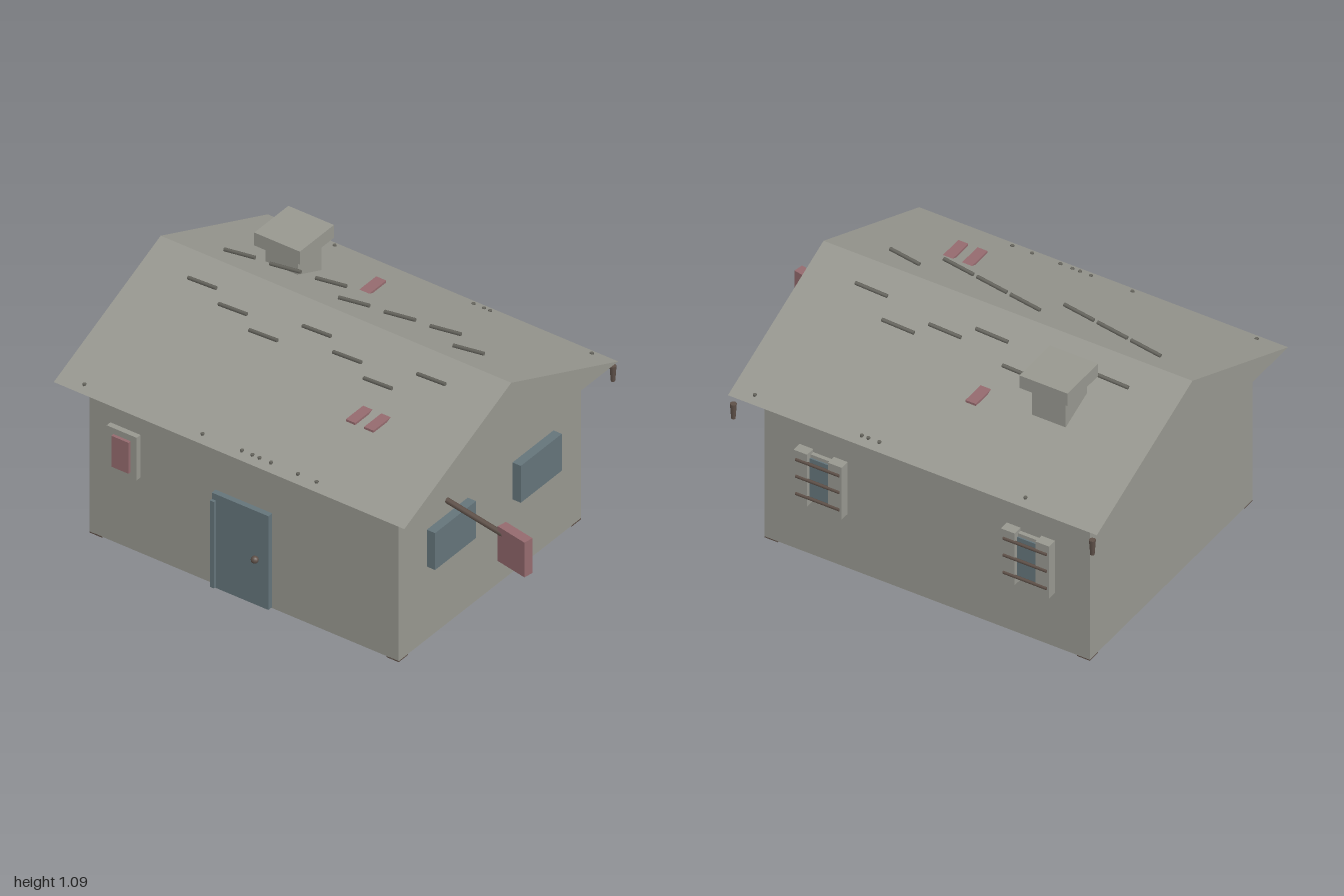
import * as THREE from 'three';

const mat = (name, color) => new THREE.MeshStandardMaterial({ name, color });

export function createModel() {
  const group = new THREE.Group();
  group.name = 'house';
  const stone = mat('stone grey', 0x97978f);
  const slate = mat('slate blue', 0x64747a);
  const rose = mat('dusty rose', 0x946a6e);
  const brown = mat('dark brown', 0x5e5048);
  const twig = mat('dark grey', 0x65645d);

  const add = (name, geo, material) => {
    const mesh = new THREE.Mesh(geo, material);
    mesh.name = name;
    group.add(mesh);
    return mesh;
  };
  // Box given by its limits on each axis
  const box = (name, material, [x0, x1], [y0, y1], [z0, z1]) => {
    const mesh = add(name, new THREE.BoxGeometry(x1 - x0, y1 - y0, z1 - z0), material);
    mesh.position.set((x0 + x1) / 2, (y0 + y1) / 2, (z0 + z1) / 2);
    return mesh;
  };
  // Round bar between two points
  const rod = (name, material, a, b, r0, r1 = r0, sides = 8) => {
    const from = new THREE.Vector3(...a), to = new THREE.Vector3(...b);
    const dir = to.clone().sub(from);
    const mesh = add(name, new THREE.CylinderGeometry(r1, r0, dir.length(), sides), material);
    mesh.position.copy(from).add(to).multiplyScalar(0.5);
    mesh.quaternion.setFromUnitVectors(new THREE.Vector3(0, 1, 0), dir.normalize());
    return mesh;
  };

  // Walls and corner pads
  box('walls', stone, [-0.9, 0.59], [0.005, 0.73], [-0.59, 0.61]);
  for (const x of [-0.9, 0.53])
    for (const z of [-0.59, 0.55]) box('cornerPad', brown, [x, x + 0.06], [0, 0.006], [z, z + 0.06]);

  // Gabled roof, extruded along x
  const gable = new THREE.Shape([
    new THREE.Vector2(-0.71, 0.73), new THREE.Vector2(0.7, 0.73), new THREE.Vector2(-0.005, 1.027),
  ]);
  const roof = new THREE.ExtrudeGeometry(gable, { depth: 1.69, bevelEnabled: false });
  roof.rotateY(Math.PI / 2);
  add('roof', roof, stone).position.x = -1;

  // Chimney
  box('chimneyStack', stone, [-0.637, -0.482], [0.85, 1.025], [-0.345, -0.19]);
  box('chimneyCap', stone, [-0.67, -0.45], [1.024, 1.085], [-0.385, -0.16]);

  // Sticks lying on both slopes in repeating steps
  for (const side of [1, -1]) {
    for (let i = 0; i < 7; i++) {
      const x = -0.782 + i * 0.184, step = i % 3;
      const z = side * (0.119 + step * 0.05) + 0.003, y = 0.984 - step * 0.02;
      rod('roofStick', twig, [x, y, z], [x + 0.142, y + 0.014, z + side * 0.009], 0.008);
    }
  }

  // Flat tiles sticking out of the slopes
  box('roofTile', rose, [0.205, 0.25], [0.885, 0.895], [0.3, 0.432]);
  box('roofTile', rose, [0.293, 0.338], [0.885, 0.895], [0.3, 0.432]);
  box('roofTile', rose, [-0.272, -0.224], [0.885, 0.895], [-0.42, -0.29]);

  // Nails along the eaves
  const nail = (x, z) => rod('eaveNail', twig, [x, 0.714, z], [x, 0.752, z], 0.008, 0.008, 6);
  for (const x of [-0.88, -0.31, -0.12, -0.07, -0.035, 0.02, 0.15, 0.24]) nail(x, 0.672);
  for (const x of [-0.65, 0.02, 0.07, 0.1, 0.59]) nail(x, -0.662);

  // Tapered drops at the rear corners
  for (const x of [-0.98, 0.665]) rod('cornerDrop', brown, [x, 0.628, -0.7], [x, 0.7, -0.7], 0.009, 0.014);

  // Door with hinge strip and knob
  box('door', slate, [-0.293, -0.02], [0.01, 0.455], [0.6, 0.635]);
  box('doorStrip', slate, [-0.293, -0.273], [0.015, 0.425], [0.63, 0.648]);
  rod('knobStem', brown, [-0.075, 0.235, 0.63], [-0.075, 0.235, 0.65], 0.007);
  add('doorKnob', new THREE.SphereGeometry(0.016, 12, 8), brown).position.set(-0.075, 0.235, 0.65);

  // Framed panel on the front
  box('panelFrame', stone, [-0.8, -0.655], [0.363, 0.565], [0.6, 0.635]);
  box('panel', rose, [-0.767, -0.684], [0.39, 0.537], [0.63, 0.649]);

  // Side windows
  for (const z of [-0.41, 0.155]) box('sideWindow', slate, [0.58, 0.63], [0.35, 0.525], [z, z + 0.27]);

  // Barred rear windows
  for (const x of [-0.63, 0.32]) {
    for (const s of [-1, 1]) {
      const c = x + s * 0.079;
      box('windowPost', stone, [c - 0.031, c + 0.031], [0.27, 0.525], [-0.634, -0.58]);
    }
    box('windowSurround', stone, [x - 0.05, x + 0.05], [0.285, 0.51], [-0.608, -0.58]);
    box('rearGlass', slate, [x - 0.048, x + 0.048], [0.3, 0.495], [-0.615, -0.607]);
    for (const y of [0.315, 0.4, 0.482])
      rod('windowBar', brown, [x - 0.1, y, -0.634], [x + 0.1, y, -0.634], 0.007);
  }

  // Hanging sign on a sloping pole
  rod('signPole', brown, [0.58, 0.592, 0.292], [0.86, 0.54, 0.292], 0.012, 0.012);
  const sign = box('signBoard', rose, [0.842, 0.994], [0.408, 0.573], [0.269, 0.313]);
  sign.rotation.y = -0.19;

  return group;
}
